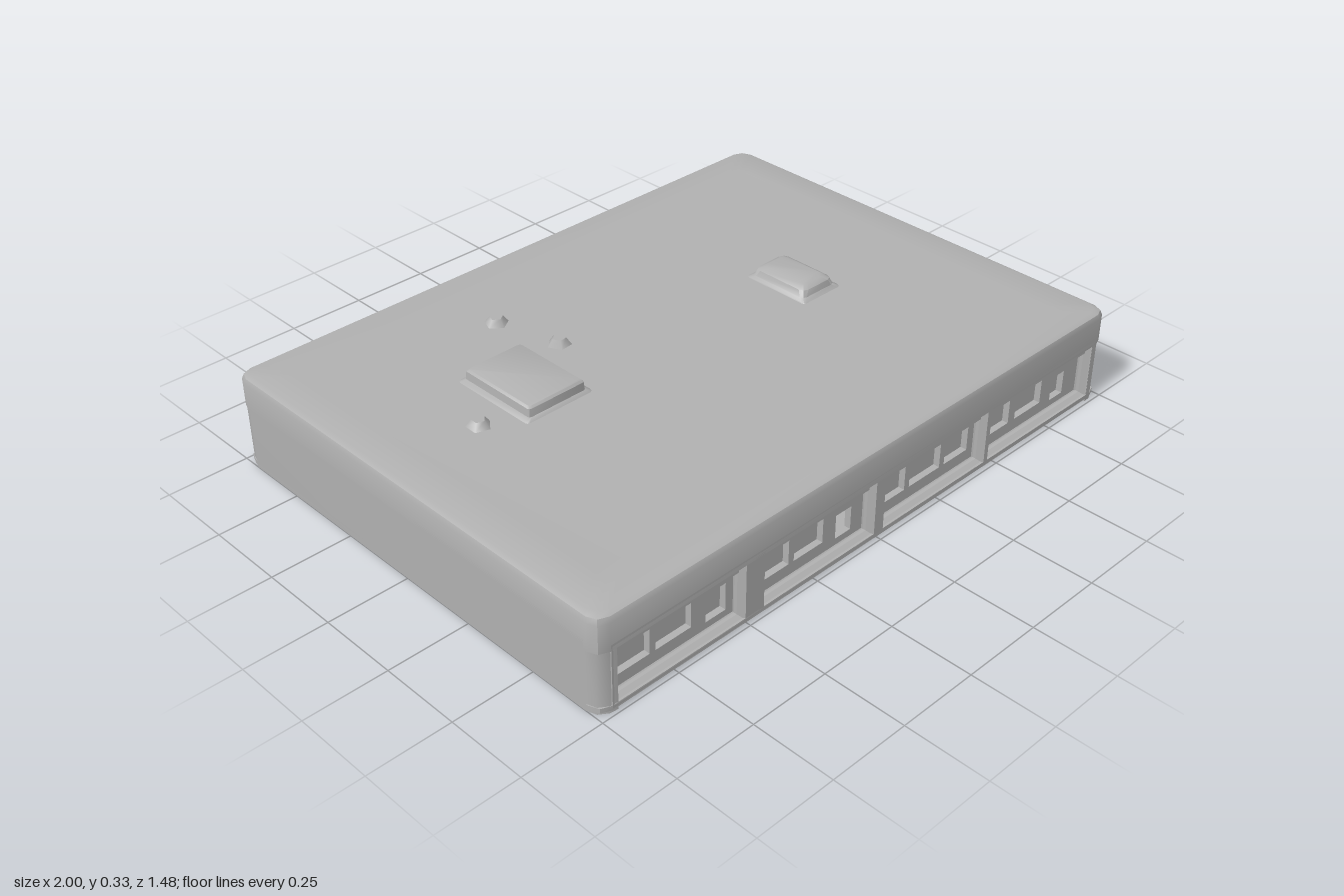
import * as THREE from 'three';
import { toCreasedNormals } from 'three/addons/utils/BufferGeometryUtils.js';

const concrete = new THREE.MeshStandardMaterial({ color: 0xb0b0b0 });
concrete.name = 'concrete grey';

function add(parent, name, geometry, x = 0, y = 0, z = 0) {
  const mesh = new THREE.Mesh(geometry, concrete);
  mesh.name = name;
  mesh.position.set(x, y, z);
  parent.add(mesh);
  return mesh;
}

const box = (w, h, d) => new THREE.BoxGeometry(w, h, d);

// Closed solid through chamfered rectangles: each ring is [y, halfWidth, halfDepth, corner]
function loft(rings) {
  const pos = [], idx = [], n = 12;
  for (const [y, w, d, c] of rings) {
    for (let q = 0; q < 4; q++) {
      for (let k = 0; k < 3; k++) {
        const a = (q + k / 2) * Math.PI / 2;
        const sx = q === 0 || q === 3 ? 1 : -1, sz = q < 2 ? 1 : -1;
        pos.push(sx * (w - c) + c * Math.cos(a), y, sz * (d - c) + c * Math.sin(a));
      }
    }
  }
  for (let r = 0; r < rings.length - 1; r++) {
    for (let i = 0; i < n; i++) {
      const a = r * n + i, b = r * n + (i + 1) % n;
      idx.push(a, a + n, b, b, a + n, b + n);
    }
  }
  const top = (rings.length - 1) * n;
  for (let i = 1; i < n - 1; i++) {
    idx.push(0, i, i + 1, top, top + i + 1, top + i);
  }
  const g = new THREE.BufferGeometry();
  g.setAttribute('position', new THREE.Float32BufferAttribute(pos, 3));
  g.setIndex(idx);
  return toCreasedNormals(g, 0.7);
}

function rectPath(x0, x1, y0, y1) {
  return new THREE.Shape([
    new THREE.Vector2(x0, y0), new THREE.Vector2(x1, y0),
    new THREE.Vector2(x1, y1), new THREE.Vector2(x0, y1),
  ]);
}

// Window bays [x0, x1] and windows [x0, x1, y0, y1]
const bays = [[-0.94, -0.52], [-0.43, -0.03], [0.03, 0.44], [0.48, 0.93]];
const windows = [
  [-0.92, -0.80, 0.06, 0.15], [-0.78, -0.66, 0.06, 0.16], [-0.61, -0.54, 0.045, 0.13],
  [-0.42, -0.31, 0.06, 0.15], [-0.29, -0.18, 0.06, 0.15], [-0.13, -0.07, 0.045, 0.12],
  [0.05, 0.15, 0.06, 0.15], [0.17, 0.30, 0.06, 0.15], [0.32, 0.42, 0.06, 0.15],
  [0.50, 0.61, 0.06, 0.15], [0.64, 0.76, 0.06, 0.15], [0.81, 0.87, 0.045, 0.12],
];
const openWindow = 5;

// One window front facing +z; flip mirrors the layout for the rear
function facade(name, flip) {
  const g = new THREE.Group();
  g.name = name;
  const span = (a, b) => (flip ? [-b, -a] : [a, b]);

  // Outer frame with sloped bay edges
  const frame = rectPath(-0.97, 0.97, 0, 0.22);
  for (const [a, b] of bays) frame.holes.push(rectPath(...span(a, b), 0.03, 0.185));
  add(g, name + 'Frame', new THREE.ExtrudeGeometry(frame, {
    depth: 0.01, bevelEnabled: true, bevelSegments: 1,
    bevelSize: 0.012, bevelThickness: 0.02, bevelOffset: -0.012,
  }), 0, 0, 0.71);

  // Inner wall with window openings
  const wall = rectPath(-0.96, 0.96, 0.01, 0.21);
  for (const [a, b, c, d] of windows) wall.holes.push(rectPath(...span(a, b), c, d));
  add(g, name + 'WindowWall', new THREE.ExtrudeGeometry(wall, { depth: 0.02, bevelEnabled: false }), 0, 0, 0.68);

  // Recessed panes, one left open
  windows.forEach(([a, b, c, d], i) => {
    if (i === openWindow) return;
    const [x0, x1] = span(a, b);
    add(g, name + 'Pane', box(x1 - x0 + 0.01, d - c + 0.01, 0.008), (x0 + x1) / 2, (c + d) / 2, 0.673);
  });

  // Lintel strip over each bay
  for (const [a, b] of bays) {
    const [x0, x1] = span(a, b);
    add(g, name + 'Lintel', box(x1 - x0, 0.012, 0.03), (x0 + x1) / 2, 0.172, 0.71);
  }
  return g;
}

export function createModel() {
  const model = new THREE.Group();
  model.name = 'flatRoofedBuilding';

  // Front and rear
  model.add(facade('front', false));
  const rear = facade('rear', true);
  rear.rotation.y = Math.PI;
  model.add(rear);

  // Side walls with rounded outer corners
  for (const s of [-1, 1]) {
    const plan = new THREE.Shape([
      [0.94, -0.74], [0.965, -0.737], [0.99, -0.72], [1, -0.69],
      [1, 0.69], [0.99, 0.72], [0.965, 0.737], [0.94, 0.74],
    ].map(([x, z]) => new THREE.Vector2(s * x, z)));
    const g = new THREE.ExtrudeGeometry(plan, { depth: 0.22, bevelEnabled: false });
    g.rotateX(-Math.PI / 2);
    add(model, s > 0 ? 'leftWall' : 'rightWall', toCreasedNormals(g, 0.7));
  }

  // Floor and roof slabs
  add(model, 'floor', loft([
    [0, 0.99, 0.73, 0.03], [0.008, 1, 0.74, 0.04], [0.022, 1, 0.74, 0.04],
  ]));
  add(model, 'roof', loft([
    [0.19, 1, 0.74, 0.04], [0.275, 1, 0.74, 0.04], [0.29, 0.995, 0.735, 0.04],
    [0.297, 0.98, 0.72, 0.04], [0.294, 0.88, 0.64, 0.04],
  ]));

  // Rooftop housings with flared feet
  add(model, 'largeRoofHousing', loft([
    [0.28, 0.125, 0.155, 0.01], [0.296, 0.115, 0.145, 0.01], [0.302, 0.1, 0.136, 0.008],
    [0.326, 0.098, 0.134, 0.008], [0.332, 0.092, 0.128, 0.008],
  ]), -0.475, 0, -0.13);
  add(model, 'smallRoofHousing', loft([
    [0.28, 0.085, 0.125, 0.01], [0.296, 0.078, 0.115, 0.01], [0.303, 0.068, 0.103, 0.015],
    [0.322, 0.062, 0.098, 0.02], [0.332, 0.045, 0.08, 0.02],
  ]), 0.465, 0, -0.01);

  // Small faceted roof vents
  [[-0.685, -0.07, 0.3], [-0.32, -0.44, 1.2], [-0.265, -0.23, 2]].forEach(([x, z, turn]) => {
    const vent = add(model, 'roofVent', new THREE.CylinderGeometry(0.02, 0.037, 0.022, 5), x, 0.304, z);
    vent.rotation.y = turn;
  });
  return model;
}
